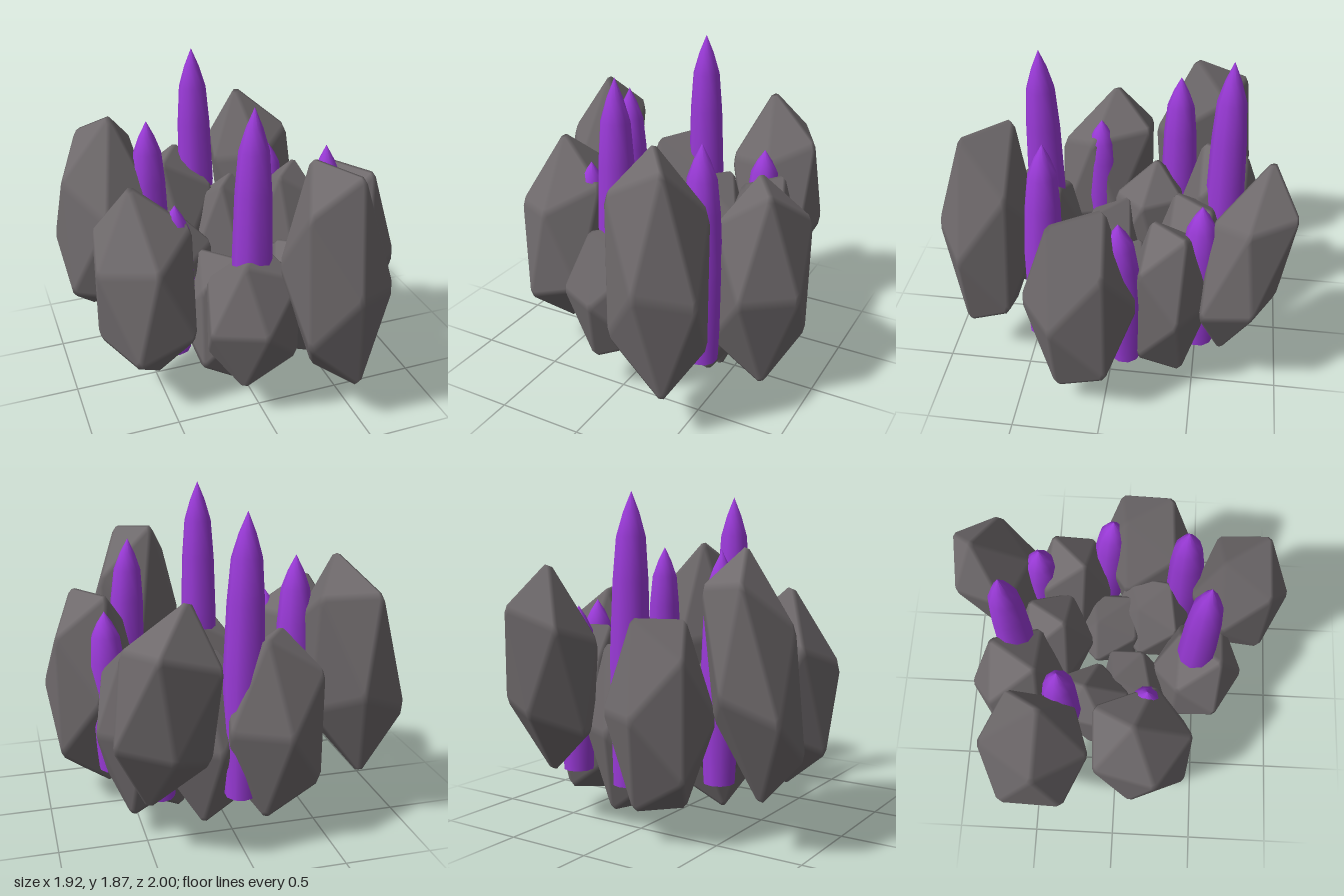
import * as THREE from 'three';
import { ConvexGeometry } from 'three/addons/geometries/ConvexGeometry.js';

const V = (x, y, z) => new THREE.Vector3(x, y, z);
const basis = (a, b, c) => new THREE.Matrix4().makeBasis(a, b, c);

// Icosahedron with bevelled edges: flat faces, smoothly shaded bevels.
function bevelledIcosahedron(bevel) {
  const pos = new THREE.IcosahedronGeometry(1, 0).attributes.position;
  const corners = [];
  for (let i = 0; i < pos.count; i += 3) {
    const tri = [0, 1, 2].map(k => V().fromBufferAttribute(pos, i + k));
    const mid = V(0, 0, 0).add(tri[0]).add(tri[1]).add(tri[2]).divideScalar(3);
    const normal = mid.clone().normalize();
    for (const p of tri) corners.push({ p: p.clone().lerp(mid, bevel).multiplyScalar(1.03), normal });
  }
  const geo = new ConvexGeometry(corners.map(c => c.p));
  const { position, normal } = geo.attributes;
  const p = V();
  for (let i = 0; i < position.count; i++) {
    p.fromBufferAttribute(position, i);
    const near = corners.reduce((a, b) => (a.p.distanceToSquared(p) < b.p.distanceToSquared(p) ? a : b));
    normal.setXYZ(i, near.normal.x, near.normal.y, near.normal.z);
  }
  return { geo, face: [0, 1, 2].map(k => V().fromBufferAttribute(pos, k)) };
}

// Stretches and turns the icosahedron so one face lands on three given corners.
function rockGeometry(base, [center, ...offsets]) {
  const [p, q, s] = offsets.map(o => V(...o));
  const target = basis(p, q, s).determinant() * basis(...base.face).determinant() > 0
    ? basis(p, q, s) : basis(p, s, q);
  const map = target.multiply(basis(...base.face).invert());
  return base.geo.clone().applyMatrix4(map).translate(...center);
}

// Tapered shaft with a pointed tip and open foot, leaning from base to tip.
function crystalGeometry([bx, bz, tx, tz, top]) {
  const y0 = 0.3, h = top - y0;
  const profile = [[0.088, 0], [0.1, 0.2], [0.112, 0.45], [0.1, 0.7], [0.082, 0.85], [0.045, 0.93], [0, 1]];
  const geo = new THREE.LatheGeometry(profile.map(([r, t]) => new THREE.Vector2(r, t * h)), 10);
  const lean = new THREE.Matrix4().set(
    1, (tx - bx) / h, 0, bx,
    0, 1, 0, y0,
    0, (tz - bz) / h, 1, bz,
    0, 0, 0, 1);
  return geo.applyMatrix4(lean);
}

export function createModel() {
  const group = new THREE.Group();
  const stone = new THREE.MeshStandardMaterial({ color: 0x6f6a6c });
  const purple = new THREE.MeshStandardMaterial({ color: 0x9a3ad8 });
  const add = (name, geo, mat) => {
    const mesh = new THREE.Mesh(geo, mat);
    mesh.name = name;
    group.add(mesh);
  };

  // centre, then the three corners of one face relative to it
  const rocks = {
    backRightRock: [[-0.69, 0.94, -0.455], [0.08, 0.65, 0.065], [-0.065, 0.47, -0.25], [-0.22, 0.25, 0.02]],
    backRock: [[-0.2, 0.7, -0.6], [0.08, 0.52, -0.13], [-0.08, 0.5, 0.13], [0.235, 0.31, 0.13]],
    backLeftRock: [[0.425, 0.905, -0.75], [-0.09, 0.6, -0.1], [0.23, 0.33, 0], [0, 0.22, 0.19]],
    leftBackRock: [[0.49, 0.63, -0.33], [0.1, 0.5, -0.1], [-0.08, 0.48, 0.1], [0.19, 0.3, 0.14]],
    frontLeftRock: [[0.355, 0.945, 0.71], [0.077, 0.61, 0.095], [-0.107, 0.645, -0.155], [0.21, 0.33, -0.16]],
    leftRock: [[0.7, 0.73, 0.14], [0.085, 0.57, 0.135], [-0.085, 0.575, -0.135], [0.215, 0.355, -0.165]],
    rightRock: [[-0.58, 0.775, 0.155], [-0.045, 0.59, -0.05], [0.265, 0.34, 0.06], [0.02, 0.2, 0.285]],
    frontRock: [[-0.04, 0.63, 0.48], [-0.09, 0.4, 0.12], [0.09, 0.39, -0.12], [-0.22, 0.22, -0.13]],
    innerRightRock: [[-0.29, 0.62, -0.14], [-0.02, 0.42, -0.05], [0.2, 0.19, 0.02], [0.02, 0.17, 0.2]],
    innerLeftRock: [[0.35, 0.5, 0.18], [-0.06, -0.41, -0.11], [0.1, -0.37, 0.08], [0.2, -0.25, -0.16]],
    innerBackRock: [[0.12, 0.58, -0.43], [0.06, -0.48, -0.1], [-0.08, -0.46, 0.12], [0.2, -0.3, 0.13]],
    bottomRightRock: [[-0.11, 0.42, 0.1], [-0.1, -0.39, -0.04], [0.08, -0.4, 0.13], [-0.15, -0.24, 0.16]],
    bottomLeftRock: [[0.3, 0.4, -0.06], [0.12, -0.39, 0.09], [-0.07, -0.36, -0.13], [0.16, -0.24, -0.15]],
  };
  const base = bevelledIcosahedron(0.15);
  for (const [name, spec] of Object.entries(rocks)) add(name, rockGeometry(base, spec), stone);

  // base x z, tip x z, tip height
  const crystals = {
    backTallCrystal: [-0.01, -0.62, -0.035, -0.61, 1.88],
    frontTallCrystal: [-0.04, 0.45, -0.035, 0.46, 1.88],
    rightMiddleCrystal: [-0.41, -0.33, -0.41, -0.31, 1.57],
    leftMiddleCrystal: [0.47, 0.4, 0.425, 0.36, 1.57],
    backShortCrystal: [0.43, -0.52, 0.43, -0.5, 1.25],
    leftShortCrystal: [0.62, -0.11, 0.64, -0.07, 1.25],
    rightShortCrystal: [-0.41, 0.17, -0.39, 0.17, 1.25],
  };
  for (const [name, spec] of Object.entries(crystals)) add(name, crystalGeometry(spec), purple);
  return group;
}
